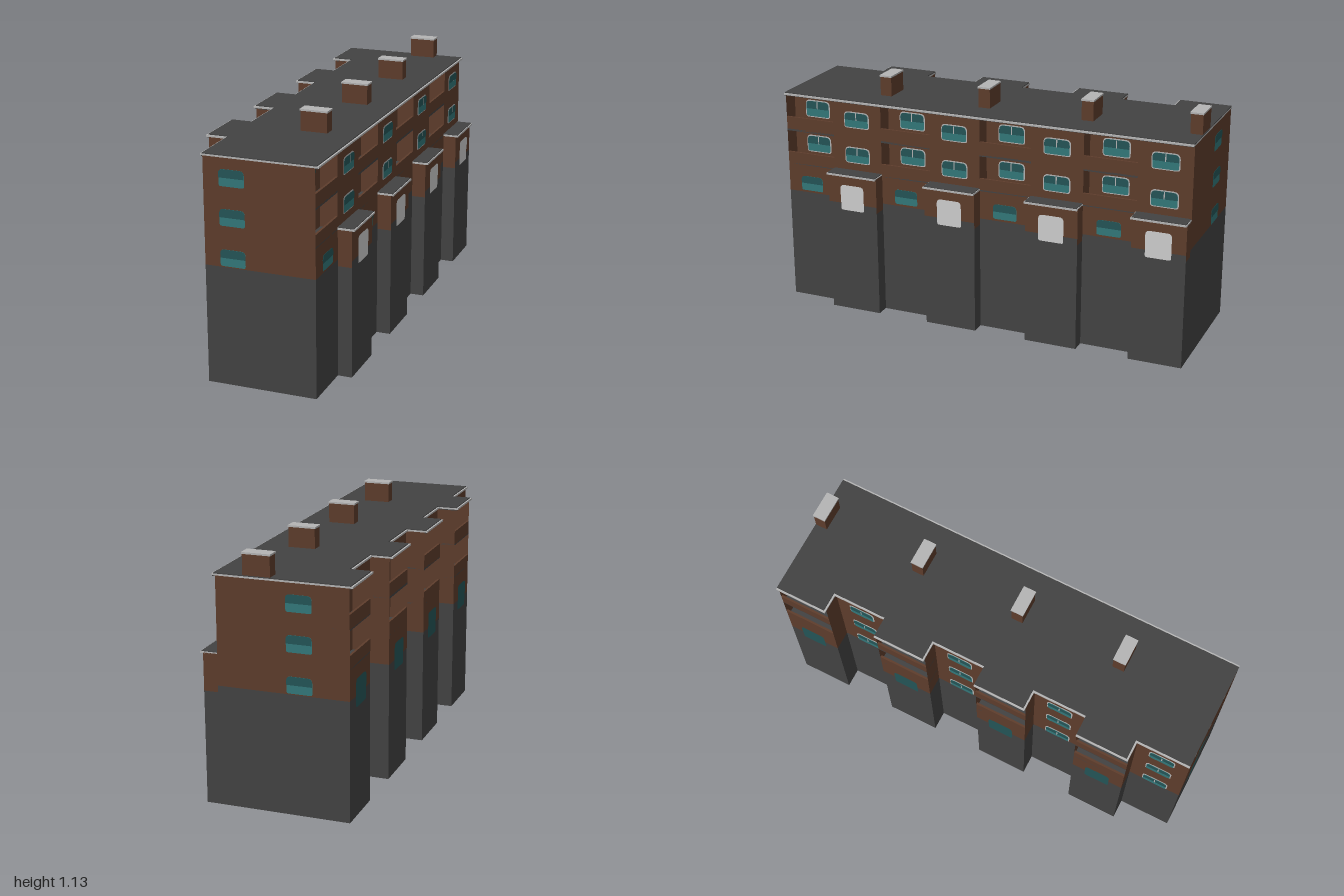
import * as THREE from 'three';

const mat = (name, color, side = THREE.DoubleSide) => {
  const m = new THREE.MeshStandardMaterial({ color, side });
  m.name = name;
  return m;
};

export function createModel() {
  const model = new THREE.Group();
  const stone = mat('dark stone', 0x434343);
  const brick = mat('brown brick', 0x5e3d2c);
  const trim = mat('light trim', 0xb4b4b4);
  const glass = mat('teal glass', 0x33787a);
  const glassDark = mat('dark teal glass', 0x245557);
  const pale = mat('pale door', 0xcfcfcf);

  const XR = 0.26, XL = -0.24, XB = -0.33, XP = 0.325; // wall planes
  const SPLIT = 0.54, TOP = 1.02, DEPTH = 0.08;
  const units = [-1, -0.5, 0, 0.5];

  const add = (name, geo, material, x = 0, y = 0, z = 0, ry = 0) => {
    const m = new THREE.Mesh(geo, material);
    m.name = name;
    m.position.set(x, y, z);
    m.rotation.y = ry;
    model.add(m);
    return m;
  };

  // Upright wall sheet between two plan points; outside is to the right of travel
  const wall = (name, ax, az, bx, bz, y0, y1, material) =>
    add(name, new THREE.PlaneGeometry(Math.hypot(bx - ax, bz - az), y1 - y0), material,
      (ax + bx) / 2, (y0 + y1) / 2, (az + bz) / 2, Math.atan2(-(bz - az), bx - ax));

  const box = (name, x0, x1, y0, y1, z0, z1, material) =>
    add(name, new THREE.BoxGeometry(x1 - x0, y1 - y0, z1 - z0), material,
      (x0 + x1) / 2, (y0 + y1) / 2, (z0 + z1) / 2);

  // Panel with rounded corners, top and bottom radii given separately
  const panel = (w, h, rt, rb) => {
    const s = new THREE.Shape(), a = w / 2, b = h / 2;
    s.moveTo(-a + rb, -b).lineTo(a - rb, -b).quadraticCurveTo(a, -b, a, -b + rb);
    s.lineTo(a, b - rt).quadraticCurveTo(a, b, a - rt, b);
    s.lineTo(-a + rt, b).quadraticCurveTo(-a, b, -a, b - rt);
    s.lineTo(-a, -b + rb).quadraticCurveTo(-a, -b, -a + rb, -b);
    return new THREE.ShapeGeometry(s, 4);
  };

  // Sash window: outward direction given by ry
  const opening = (name, x, y, z, ry, w, h, lower, upper, framed) => {
    const g = new THREE.Group();
    g.name = name;
    const put = (part, geo, material, px, py, pz) => {
      const m = new THREE.Mesh(geo, material);
      m.name = part;
      m.position.set(px, py, pz);
      g.add(m);
    };
    if (framed) put('frame', panel(w + 0.01, h + 0.01, 0.024, 0.014), trim, 0, 0, 0.002);
    put('lowerPane', panel(w, h, 0.02, 0.01), lower, 0, 0, 0.004);
    put('upperPane', panel(w, h / 2, 0.02, 0.002), upper, 0, h / 4, 0.006);
    if (framed) put('glazingBar', new THREE.PlaneGeometry(0.005, h / 2), trim, 0, h / 4, 0.008);
    g.position.set(x, y, z);
    g.rotation.y = ry;
    model.add(g);
  };

  // Recessed balcony behind a parapet; dir is +1 or -1 along x
  const balcony = (x, dir, z0, z1, y0, y1, rail) => {
    const xi = x - dir * DEPTH, lo = Math.min(x, xi), hi = Math.max(x, xi);
    if (dir > 0) wall('balconyBack', xi, z1, xi, z0, y0, y1, brick);
    else wall('balconyBack', xi, z0, xi, z1, y0, y1, brick);
    wall('balconySide', lo, z0, hi, z0, y0, y1, brick);
    wall('balconySide', hi, z1, lo, z1, y0, y1, brick);
    box('balconyFloor', lo, hi, y0 - 0.006, y0, z0, z1, stone);
    box('balconyCeiling', lo, hi, y1 - 0.004, y1, z0, z1, stone);
    box('parapet', dir > 0 ? x - 0.01 : x, dir > 0 ? x : x + 0.01, y0 - 0.006, rail, z0, z1, brick);
    opening('balconyWindow', xi, rail + 0.028, (z0 + z1) / 2, dir * Math.PI / 2, 0.12, 0.075, glass, glassDark, true);
  };

  // End walls, with one column of windows each
  for (const s of [1, -1]) {
    const xl = s > 0 ? XL : XB;
    const ends = s > 0 ? [xl, XR] : [XR, xl];
    wall('endBase', ends[0], s, ends[1], s, 0, SPLIT, stone);
    wall('endWall', ends[0], s, ends[1], s, SPLIT, TOP, brick);
    for (const y of [0.583, 0.762, 0.935])
      opening('endWindow', -0.11, y, s, s > 0 ? 0 : Math.PI, 0.115, 0.075, glass, glassDark, false);
  }

  for (const z of units) {
    const m = z + 0.25, e = z + 0.5, q = Math.PI / 2;

    // Right side: porch bay, then balcony bay
    wall('porchBase', XP, m, XP, z, 0, SPLIT, stone);
    wall('porchFront', XP, m, XP, z, SPLIT, 0.68, brick);
    for (const [a, b, zz] of [[XR, XP, m], [XP, XR, z]]) {
      wall('porchSideBase', a, zz, b, zz, 0, 0.51, stone);
      wall('porchSide', a, zz, b, zz, 0.51, 0.68, brick);
    }
    const pz = Math.max(z, -1);
    box('porchRim', XR, 0.338, 0.676, 0.684, pz, m + 0.004, trim);
    box('porchRoof', XR, 0.333, 0.684, 0.687, pz + 0.003, m, stone);
    opening('porchDoor', XP, 0.57, z + 0.125, q, 0.12, 0.125, pale, pale, false);
    wall('upperWall', XR, m, XR, z, 0.66, TOP, brick);
    for (const y of [0.762, 0.935])
      opening('sideWindow', XR, y, z + 0.125, q, 0.12, 0.07, glass, glassDark, true);

    wall('sideBase', XR, e, XR, m, 0, SPLIT, stone);
    wall('sideWall', XR, e, XR, m, SPLIT, 0.676, brick);
    opening('groundWindow', XR, 0.587, z + 0.375, q, 0.115, 0.072, glass, glassDark, false);
    balcony(XR, 1, m, e, 0.68, 0.845, 0.735);
    balcony(XR, 1, m, e, 0.85, TOP, 0.91);

    // Left side: projecting bay with balconies, then plain bay
    wall('bayBase', XB, z, XB, m, 0, SPLIT, stone);
    wall('bayFront', XB, z, XB, m, SPLIT, 0.676, brick);
    for (const [a, b, zz] of [[XB, XL, m], [XL, XB, z]]) {
      if (zz === -1) continue;
      wall('baySideBase', a, zz, b, zz, 0, SPLIT, stone);
      wall('baySide', a, zz, b, zz, SPLIT, TOP, brick);
    }
    opening('bayDoor', XB, 0.555, z + 0.125, -q, 0.12, 0.125, glassDark, glassDark, false);
    balcony(XB, -1, z, m, 0.68, 0.845, 0.735);
    balcony(XB, -1, z, m, 0.85, TOP, 0.91);
    wall('leftBase', XL, m, XL, e, 0, SPLIT, stone);
    wall('leftWall', XL, m, XL, e, SPLIT, TOP, brick);
    for (const y of [0.583, 0.762, 0.935])
      opening('leftWindow', XL, y, z + 0.375, -q, 0.115, 0.072, glass, glassDark, true);

    // Chimney with pale cap
    box('chimney', 0.015, 0.138, 1.02, 1.122, z + 0.002, z + 0.058, brick);
    box('chimneyCap', 0.012, 0.141, 1.122, 1.13, z, z + 0.061, trim);
  }

  // Stepped roof slab over a pale rim
  const roof = (name, inset, y, h, material) => {
    const s = new THREE.Shape(), r = 0.276 - inset, n = -0.25 + inset, b = -0.344 + inset;
    s.moveTo(r, 1).lineTo(r, -1);
    for (const z of units) {
      s.lineTo(b, z).lineTo(b, z + 0.25 - inset);
      s.lineTo(n, z + 0.25 - inset).lineTo(n, z + 0.5);
    }
    const g = new THREE.ExtrudeGeometry(s, { depth: h, bevelEnabled: false });
    g.rotateX(Math.PI / 2);
    add(name, g, material, 0, y + h, 0);
  };
  roof('roofRim', 0, 1.02, 0.008, trim);
  roof('roofSlab', 0.008, 1.028, 0.004, stone);
  roof('roofSoffit', 0.004, 1.017, 0.003, stone);

  return model;
}
